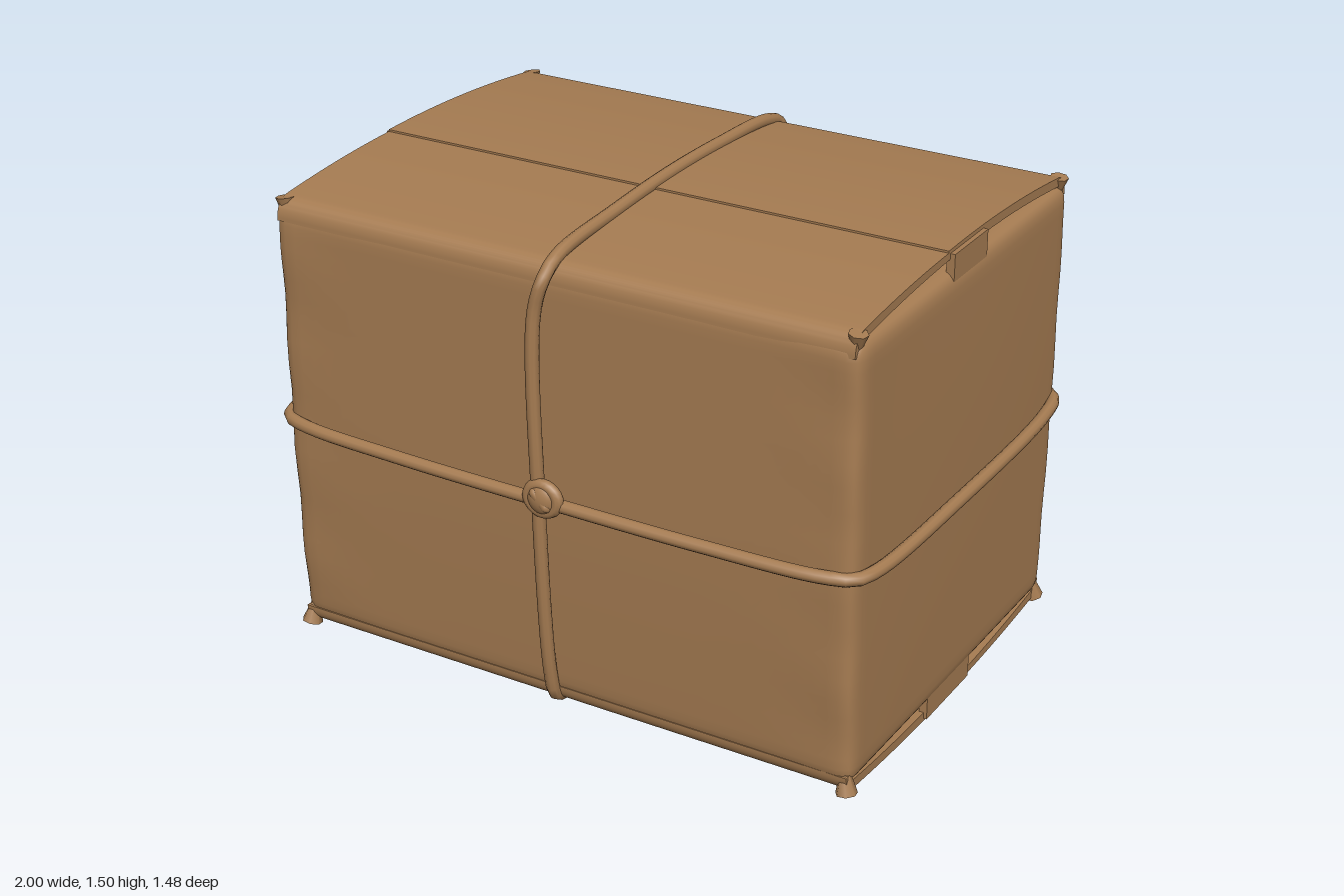
import * as THREE from 'three';
import { mergeVertices, toCreasedNormals } from 'three/addons/utils/BufferGeometryUtils.js';

const paper = new THREE.MeshStandardMaterial({ color: 0xa67c52 });
paper.name = 'brown paper';

function add(parent, name, geometry, x = 0, y = 0, z = 0) {
  const mesh = new THREE.Mesh(geometry, paper);
  mesh.name = name;
  mesh.position.set(x, y, z);
  parent.add(mesh);
  return mesh;
}

// Soft box: vertices crowd towards the edges, which are rounded, bulged and creased.
function wrappedBox() {
  const half = new THREE.Vector3(0.938, 0.675, 0.667), r = 0.05;
  const inner = half.clone().subScalar(r);
  const geo = new THREE.BoxGeometry(2, 2, 2, 28, 28, 28);
  geo.deleteAttribute('uv');
  geo.deleteAttribute('normal');
  const merged = mergeVertices(geo);
  const pos = merged.attributes.position;
  const p = new THREE.Vector3(), core = new THREE.Vector3();
  const crowd = (t) => Math.sign(t) * (1 - (1 - Math.abs(t)) ** 2);
  for (let i = 0; i < pos.count; i++) {
    p.fromBufferAttribute(pos, i);
    const u = crowd(p.x), v = crowd(p.y), w = crowd(p.z);
    p.set(u, v, w).multiply(half);
    core.copy(p).clamp(inner.clone().negate(), inner);
    const out = p.clone().sub(core);
    if (out.lengthSq() > 0) p.copy(core).add(out.setLength(r));
    // paper bulges on the ends and narrows towards the base
    p.x += Math.sign(u) * Math.abs(u) ** 8 * 0.01 * (1 - v * v) * (1 - w * w);
    p.z *= 1 - 0.035 * Math.max(0, -v) ** 1.5;
    // shallow creases close to the upright edges
    p.z += 0.004 * Math.sin(v * 13 + u * 9) * Math.abs(u) ** 6 * Math.abs(w) ** 6;
    pos.setXYZ(i, p.x, p.y, p.z);
  }
  merged.computeVertexNormals();
  return merged;
}

// Bowed panel with an overlapping flap, extruded across the width.
function bowedPanel(halfDepth, rise, edgeDrop, seam, width) {
  const shape = new THREE.Shape();
  const outer = (z) => rise * (1 - (z / halfDepth) ** 2);
  shape.moveTo(-halfDepth, -edgeDrop);
  shape.quadraticCurveTo(-halfDepth, 0, -halfDepth + 0.05, outer(halfDepth - 0.05));
  const steps = 16, end = halfDepth - 0.05;
  for (let i = 1; i <= steps; i++) {
    const z = -end + (end + seam) * i / steps;
    shape.lineTo(z, outer(z));
  }
  for (let i = 0; i <= steps; i++) {
    const z = seam + (end - seam) * i / steps;
    shape.lineTo(z, outer(z) - 0.006 * (1 - i / steps));
  }
  shape.quadraticCurveTo(halfDepth, 0, halfDepth, -edgeDrop);
  shape.lineTo(halfDepth - 0.03, -edgeDrop);
  for (let i = 0; i <= steps; i++) {
    const z = (halfDepth - 0.04) * (1 - 2 * i / steps);
    shape.lineTo(z, outer(z) - 0.028);
  }
  shape.lineTo(-halfDepth + 0.03, -edgeDrop);
  shape.closePath();
  const geo = new THREE.ExtrudeGeometry(shape, { depth: width, bevelEnabled: false });
  geo.translate(0, 0, -width / 2);
  geo.rotateY(-Math.PI / 2); // profile runs along z, width along x
  return toCreasedNormals(geo, 0.5);
}

function cord(points) {
  const curve = new THREE.CatmullRomCurve3(points, true, 'centripetal');
  return new THREE.TubeGeometry(curve, 160, 0.02, 10, true);
}

function knot(parent, name, y, z) {
  const group = new THREE.Group();
  group.name = name;
  group.position.set(0, y, z);
  const core = add(group, 'knotCore', new THREE.SphereGeometry(0.045, 20, 14));
  core.scale.set(1.1, 1.1, 0.65);
  const wrap = add(group, 'knotWrap', new THREE.TorusGeometry(0.042, 0.018, 10, 24));
  wrap.scale.set(1.1, 1, 1);
  const twist = add(group, 'knotTwist', new THREE.CapsuleGeometry(0.017, 0.05, 4, 10), 0, 0, Math.sign(z) * 0.012);
  twist.rotation.z = 0.8;
  parent.add(group);
}

export function createModel() {
  const parcel = new THREE.Group();
  parcel.name = 'wrappedParcel';

  add(parcel, 'boxBody', wrappedBox(), 0, 0.74, -0.015);

  // bowed top and bottom panels
  add(parcel, 'topPanel', bowedPanel(0.665, 0.045, 0.06, 0.125, 1.84), 0, 1.432, -0.015);
  const base = add(parcel, 'bottomPanel', bowedPanel(0.645, 0.035, 0.05, 0.02, 1.85), 0, 0.05, -0.015);
  base.rotation.x = Math.PI;

  // end tabs and the gathered paper at each corner
  for (const side of [-1, 1]) {
    add(parcel, 'topTab', new THREE.BoxGeometry(0.025, 0.1, 0.21), side * 0.922, 1.415, -0.005);
    add(parcel, 'bottomTab', new THREE.BoxGeometry(0.025, 0.09, 0.28), side * 0.922, 0.07, 0);
    for (const end of [-1, 1]) {
      const low = add(parcel, 'bottomCornerFold', new THREE.ConeGeometry(0.032, 0.12, 7),
        side * 0.91, 0.1, -0.015 + end * 0.622);
      low.rotation.set(-end * 0.15, 0.4, side * 0.15);
      const high = add(parcel, 'topCornerFold', new THREE.ConeGeometry(0.028, 0.09, 7),
        side * 0.908, 1.39, -0.015 + end * 0.635);
      high.rotation.set(Math.PI, 0.4, side * 0.15);
    }
  }

  // cord running over the top and under the base: [z, y]
  const upright = [[0.69, 0.74], [0.69, 1.3], [0.675, 1.41], [0.6, 1.448], [0.3, 1.47], [0, 1.48],
    [-0.3, 1.473], [-0.6, 1.45], [-0.69, 1.41], [-0.712, 1.28], [-0.712, 0.74], [-0.68, 0.15],
    [-0.655, 0.065], [-0.58, 0.045], [0, 0.02], [0.55, 0.045], [0.625, 0.07], [0.65, 0.15]];
  add(parcel, 'uprightCord', cord(upright.map(([z, y]) =>
    new THREE.Vector3(-0.012 - 0.02 * z * (y > 1.4 ? -1 : 1), y, z))));

  // cord running around the middle: [x, z], mirrored
  const girth = [[0.5, 0.69], [0.85, 0.668], [0.935, 0.635], [0.962, 0.56], [0.978, 0.1],
    [0.968, -0.52], [0.938, -0.65], [0.86, -0.693], [0.4, -0.708]];
  const loop = [[0, 0.695], ...girth, [0, -0.712], ...girth.map(([x, z]) => [-x, z]).reverse()];
  add(parcel, 'middleCord', cord(loop.map(([x, z]) => new THREE.Vector3(x, 0.738 - 0.006 * x, z))));

  knot(parcel, 'frontKnot', 0.753, 0.705);
  knot(parcel, 'backKnot', 0.75, -0.72);
  return parcel;
}
